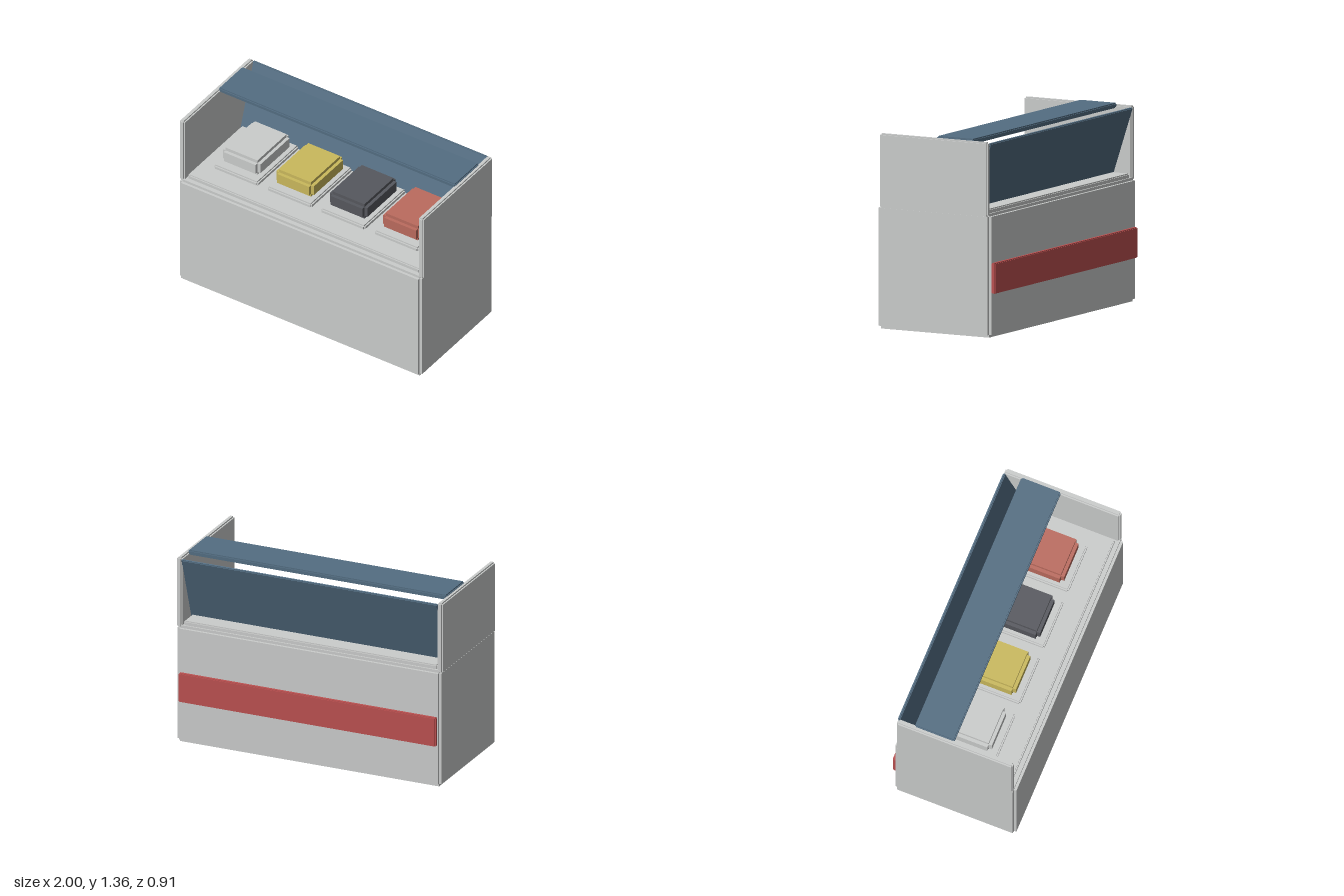
import * as THREE from 'three';
import { mergeGeometries } from 'three/addons/utils/BufferGeometryUtils.js';

const paint = (name, color) => {
  const m = new THREE.MeshStandardMaterial({ color });
  m.name = name;
  return m;
};

// Block with stepped edges: three crossed boxes, each full size along one axis
function steppedBlock(w, h, d, s) {
  const t = 2 * s;
  return mergeGeometries([
    new THREE.BoxGeometry(w, h - t, d - t),
    new THREE.BoxGeometry(w - t, h, d - t),
    new THREE.BoxGeometry(w - t, h - t, d),
  ]);
}

export function createModel() {
  const model = new THREE.Group();
  model.name = 'displayCounter';

  const grey = paint('light grey', 0xcbcdcc);
  const blue = paint('slate blue', 0x536d82);
  const red = paint('red', 0xbc5050);
  const yellow = paint('mustard yellow', 0xcab95c);
  const charcoal = paint('charcoal', 0x56585e);
  const coral = paint('coral', 0xbb6b5e);

  // Add a block from its extents on each axis
  const block = (name, material, [x0, x1], [y0, y1], [z0, z1], step) => {
    const mesh = new THREE.Mesh(steppedBlock(x1 - x0, y1 - y0, z1 - z0, step), material);
    mesh.position.set((x0 + x1) / 2, (y0 + y1) / 2, (z0 + z1) / 2);
    mesh.name = name;
    model.add(mesh);
    return mesh;
  };

  // Cabinet and counter top
  block('cabinet', grey, [-0.99, 0.99], [0, 0.85], [-0.43, 0.455], 0.019);
  block('counterTop', grey, [-0.95, 0.95], [0.84, 0.88], [-0.4, 0.405], 0.008);

  // Upright side panels
  for (const side of [-1, 1]) {
    const x = [side * 0.957, side * 0.998].sort((a, b) => a - b);
    block(side > 0 ? 'leftPanel' : 'rightPanel', grey, x, [0.83, 1.343], [-0.413, 0.435], 0.01);
  }

  // Canopy shelf on top of the panels
  block('canopy', blue, [-0.97, 0.97], [1.32, 1.355], [-0.29, 0], 0.008);

  // Back screen, leaning backwards
  const screen = block('backScreen', blue, [-0.96, 0.96], [0.845, 1.345], [-0.343, -0.323], 0.005);
  screen.rotation.x = -0.32;

  // Stripe along the back of the cabinet
  block('backStripe', red, [-0.965, 0.965], [0.303, 0.513], [-0.455, -0.42], 0.006);

  // Row of display blocks, each on its plinth
  [grey, yellow, charcoal, coral].forEach((material, i) => {
    const x = -0.66 + 0.438 * i;
    block('plinth', grey, [x - 0.18, x + 0.18], [0.875, 0.913], [-0.25, 0.253], 0.01);
    block('displayBlock', material, [x - 0.154, x + 0.154], [0.912, 1.035], [-0.2, 0.203], 0.024);
  });

  return model;
}
